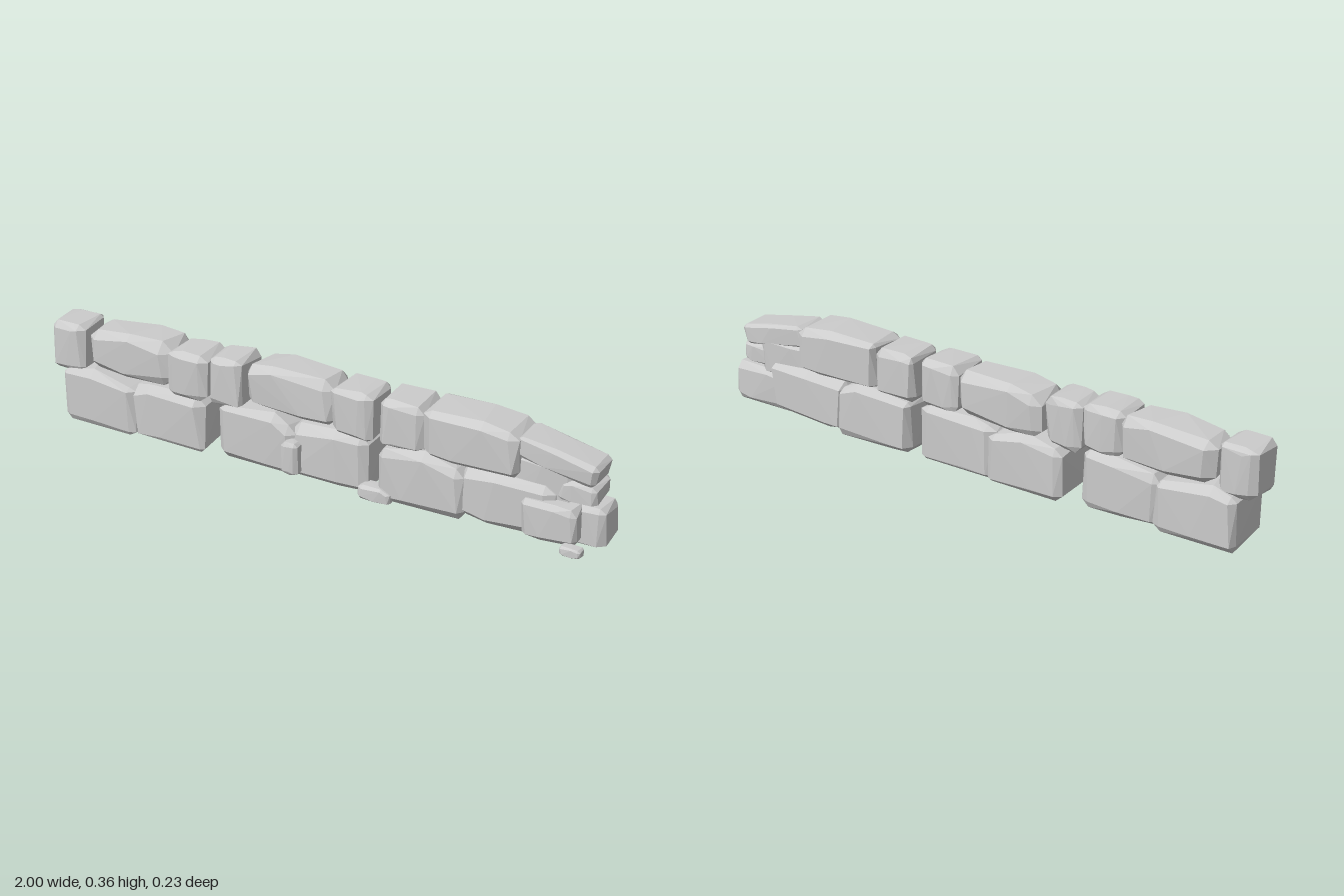
import * as THREE from 'three';
import { ConvexGeometry } from 'three/addons/geometries/ConvexGeometry.js';

const material = new THREE.MeshStandardMaterial({ color: 0xcccccc, flatShading: true });

// Small seeded generator so every stone is irregular but repeatable
function seeded(seed) {
  let s = seed * 7919 + 17;
  return () => {
    s = (s * 16807) % 2147483647;
    return s / 2147483647;
  };
}

// Hewn stone: hull of a chamfered box with uneven corners and slightly bulging faces.
// x, y, z are [min, max]; drop lowers the top at the [left edge, right edge].
function stone(name, x, y, z, seed, { bevel = 0.02, drop = [0, 0] } = {}) {
  const rnd = seeded(seed);
  for (let i = 0; i < 5; i++) rnd();
  const ranges = [x, y, z];
  const mid = ranges.map(([a, b]) => (a + b) / 2);
  const half = ranges.map(([a, b]) => (b - a) / 2);
  const points = [];
  for (const sx of [-1, 1]) for (const sy of [-1, 1]) for (const sz of [-1, 1]) {
    const signs = [sx, sy, sz];
    const cut = half.map((h) => Math.min(bevel * (0.5 + 0.8 * rnd()), h * 0.5));
    for (let axis = 0; axis < 3; axis++) {
      // Each corner gives one point per adjoining face
      const p = signs.map((s, i) => {
        const inset = i === axis ? bevel * 0.25 * rnd() : cut[i];
        return mid[i] + s * (half[i] - inset);
      });
      if (sy > 0) p[1] -= drop[sx < 0 ? 0 : 1];
      points.push(new THREE.Vector3(...p));
    }
  }
  // Ridge points break up the long faces
  for (const sy of [-1, 1]) for (const sz of [-1, 1]) {
    const px = mid[0] + half[0] * (rnd() - 0.5);
    points.push(new THREE.Vector3(px, mid[1] + sy * half[1], mid[2] + sz * half[2] * 0.7));
    points.push(new THREE.Vector3(px, mid[1] + sy * half[1] * 0.75, mid[2] + sz * half[2]));
  }
  const mesh = new THREE.Mesh(new ConvexGeometry(points), material);
  mesh.name = name;
  return mesh;
}

// One wall section: two footing stones and, on top, two end blocks and a long middle block
function section(name, x, z, seed) {
  const g = new THREE.Group();
  g.name = name;
  const at = (a, b) => [x + a, x + b];
  const deep = (a, b) => [z + a, z + b];
  g.add(
    stone('footingStoneLeft', at(0.05, 0.34), [0.005, 0.212], deep(-0.097, 0.097), seed + 1, { bevel: 0.024, drop: [0.015, 0.03] }),
    stone('footingStoneRight', at(0.31, 0.605), [0.005, 0.205], deep(-0.09, 0.088), seed + 2, { bevel: 0.03, drop: [0.01, 0.0] }),
    stone('endBlockLeft', at(0, 0.135), [0.182, 0.356], deep(-0.07, 0.08), seed + 3, { bevel: 0.022 }),
    stone('middleBlock', at(0.135, 0.47), [0.2, 0.362], deep(-0.09, 0.068), seed + 4, { bevel: 0.036, drop: [0.012, 0] }),
    stone('endBlockRight', at(0.462, 0.617), [0.19, 0.357], deep(-0.075, 0.082), seed + 5, { bevel: 0.024 }),
  );
  return g;
}

export function createModel() {
  const wall = new THREE.Group();
  wall.name = 'stoneWall';

  // Two whole sections
  wall.add(section('wallSectionA', -1, 0.012, 10));
  wall.add(section('wallSectionB', -0.4, -0.012, 30));

  // Broken end section
  const end = new THREE.Group();
  end.name = 'brokenSection';
  end.add(
    stone('footingStoneLeft', [0.24, 0.54], [0.005, 0.212], [-0.115, 0.08], 51, { bevel: 0.026, drop: [0.015, 0.03] }),
    stone('footingStoneRight', [0.51, 0.84], [0.01, 0.195], [-0.11, 0.065], 52, { bevel: 0.034 }),
    stone('endBlockLeft', [0.23, 0.392], [0.19, 0.356], [-0.1, 0.062], 53, { bevel: 0.022 }),
    stone('middleBlock', [0.385, 0.715], [0.19, 0.362], [-0.106, 0.07], 54, { bevel: 0.03, drop: [0, 0.008] }),
    stone('rubbleCore', [0.68, 0.89], [0.13, 0.27], [-0.085, 0.035], 55),
    stone('rubbleBlock', [0.84, 0.97], [0.155, 0.228], [-0.082, 0.042], 56, { bevel: 0.017 }),
    stone('footingEndStone', [0.75, 1.0], [0.012, 0.152], [-0.095, 0.032], 57, { bevel: 0.022 }),
    stone('footingFrontStone', [0.735, 0.925], [0.02, 0.153], [-0.02, 0.082], 58, { bevel: 0.02 }),
  );

  // Slab slumping down toward the broken end
  const slab = stone('fallenSlab', [-0.135, 0.135], [-0.038, 0.038], [-0.085, 0.045], 59, { bevel: 0.016 });
  slab.position.set(0.832, 0.28, 0);
  slab.rotation.z = -0.2;
  end.add(slab);
  wall.add(end);

  // Loose chips along the front
  wall.add(
    stone('uprightChip', [-0.098, -0.032], [0.025, 0.142], [0.055, 0.108], 71, { bevel: 0.014 }),
    stone('groundChip', [0.175, 0.295], [0, 0.052], [0.03, 0.092], 72, { bevel: 0.014, drop: [0, 0.008] }),
    stone('smallChip', [0.885, 0.957], [0.012, 0.045], [0.075, 0.115], 73, { bevel: 0.01 }),
  );
  return wall;
}
